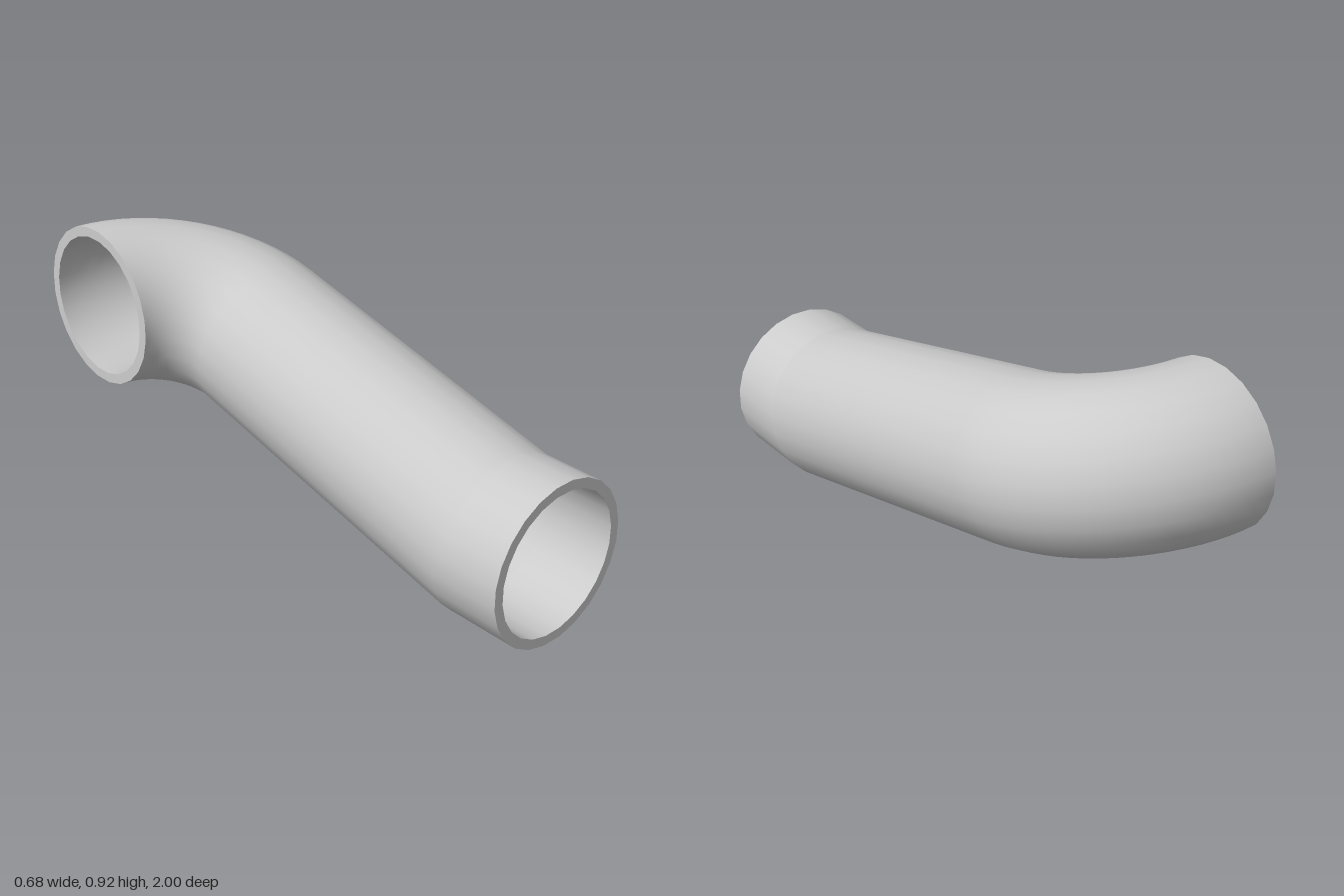
import * as THREE from 'three';

const SIDES = 24;
const OUTER = 0.277, INNER = 0.243;
const SLOPE = THREE.MathUtils.degToRad(14);
const BEND_RADIUS = 0.405, BEND_ANGLE = THREE.MathUtils.degToRad(88.4), BEND_STEPS = 16;

const V = (x, y, z) => new THREE.Vector3(x, y, z);
const along = V(0, Math.sin(SLOPE), -Math.cos(SLOPE)); // direction of the sloping pipe
const up = V(0, Math.cos(SLOPE), Math.sin(SLOPE));     // normal of the bend plane

// Skin through a list of rings { c: centre, u, v: section axes, n: normal axis paired with v }
function skin(rings, radius, inward) {
  const pos = [], nor = [], idx = [];
  const sign = inward ? -1 : 1;
  for (const { c, u, v, n } of rings) {
    for (let j = 0; j < SIDES; j++) {
      const a = ((j + 0.5) / SIDES) * Math.PI * 2;
      const ca = Math.cos(a), sa = Math.sin(a);
      const p = c.clone().addScaledVector(u, radius * ca).addScaledVector(v, radius * sa);
      const m = u.clone().multiplyScalar(ca).addScaledVector(n, sa).multiplyScalar(sign);
      pos.push(p.x, p.y, p.z);
      nor.push(m.x, m.y, m.z);
    }
  }
  for (let i = 0; i < rings.length - 1; i++) {
    for (let j = 0; j < SIDES; j++) {
      const k = (j + 1) % SIDES;
      const a = i * SIDES + j, b = i * SIDES + k, c = a + SIDES, d = b + SIDES;
      if (inward) idx.push(a, b, c, b, d, c);
      else idx.push(a, c, b, b, c, d);
    }
  }
  const g = new THREE.BufferGeometry();
  g.setAttribute('position', new THREE.Float32BufferAttribute(pos, 3));
  g.setAttribute('normal', new THREE.Float32BufferAttribute(nor, 3));
  g.setIndex(idx);
  return g;
}

export function createModel() {
  const model = new THREE.Group();
  model.name = 'pipeElbow';
  const material = new THREE.MeshStandardMaterial({ color: 0xcccccc });
  const add = (name, geometry) => {
    const mesh = new THREE.Mesh(geometry, material);
    mesh.name = name;
    model.add(mesh);
  };

  // Centre line: level collar, mitred joint, sloping run, bend to the right
  const x = V(1, 0, 0), y = V(0, 1, 0);
  const front = V(0.065, 0.275, 1), joint = V(0.065, 0.275, 0.765);
  const runEnd = joint.clone().addScaledVector(along, (0.765 + 0.331) / Math.cos(SLOPE));
  const pivot = runEnd.clone().addScaledVector(x, -BEND_RADIUS);
  const mitre = V(0, 1, Math.tan(SLOPE / 2));

  const collar = [
    { c: front, u: x, v: y, n: y },
    { c: joint, u: x, v: mitre, n: y },
  ];
  const run = [
    { c: joint, u: x, v: mitre, n: up },
    { c: runEnd, u: x, v: up, n: up },
  ];
  const bend = [];
  for (let i = 0; i <= BEND_STEPS; i++) {
    const t = (BEND_ANGLE * i) / BEND_STEPS;
    const u = x.clone().multiplyScalar(Math.cos(t)).addScaledVector(along, Math.sin(t));
    bend.push({ c: pivot.clone().addScaledVector(u, BEND_RADIUS), u, v: up, n: up });
  }

  // Outer and inner walls of every section
  for (const [name, rings] of Object.entries({ collar, run, bend })) {
    add(name + 'OuterWall', skin(rings, OUTER, false));
    add(name + 'InnerWall', skin(rings, INNER, true));
  }

  // Flat rims closing the wall thickness at both openings
  const rim = () => new THREE.RingGeometry(INNER, OUTER, SIDES, 1, Math.PI / SIDES);
  add('frontRim', rim().translate(front.x, front.y, front.z));
  const { c, u } = bend[BEND_STEPS];
  const down = up.clone().negate();
  const basis = new THREE.Matrix4().makeBasis(u, down, u.clone().cross(down)).setPosition(c);
  add('sideRim', rim().applyMatrix4(basis));

  return model;
}
